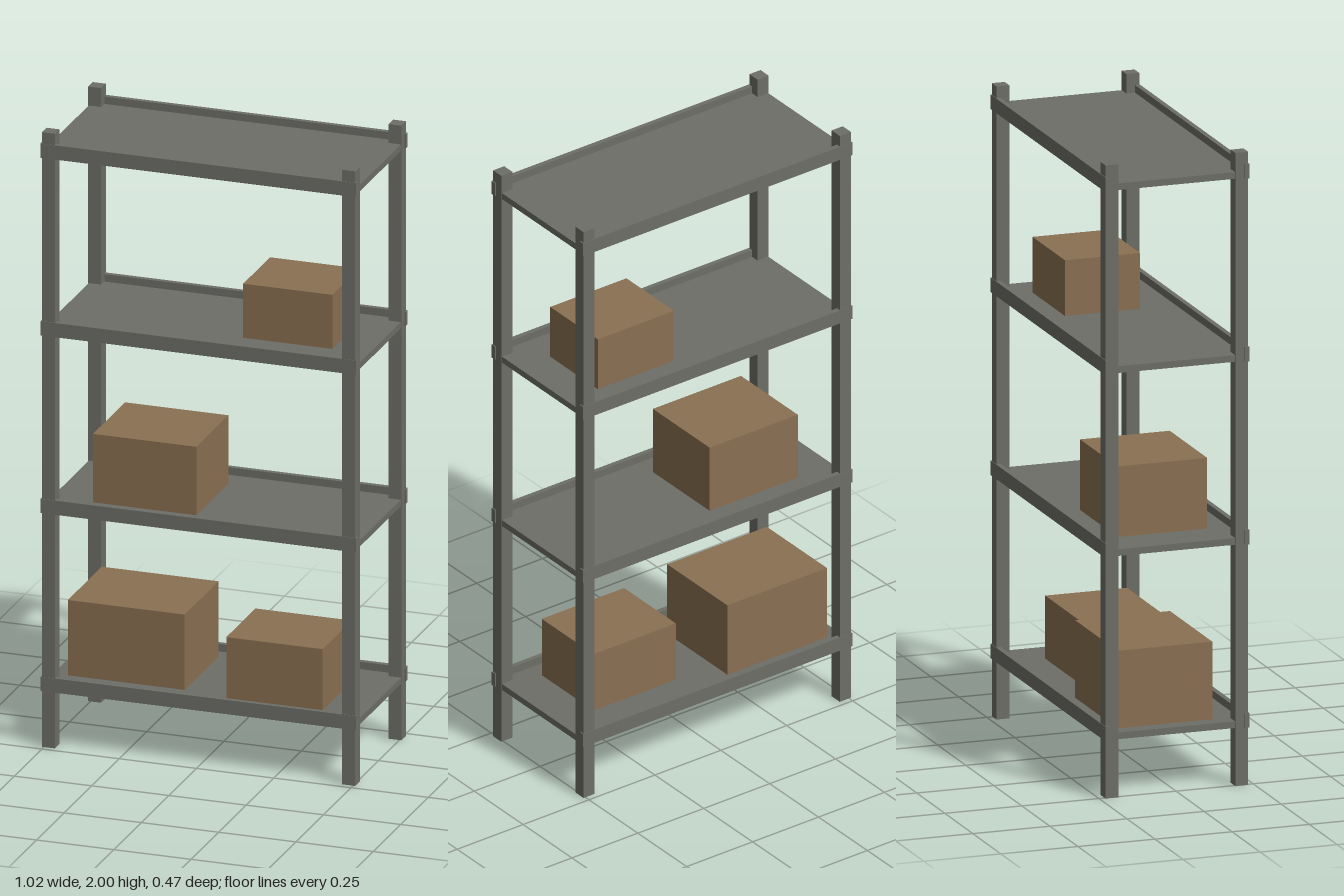
import * as THREE from 'three';

export function createModel() {
  const model = new THREE.Group();
  model.name = 'shelvingUnit';

  const metal = new THREE.MeshStandardMaterial({ color: 0x6e6e68 });
  metal.name = 'greyMetal';
  const cardboard = new THREE.MeshStandardMaterial({ color: 0x8a7052 });
  cardboard.name = 'cardboard';

  // Box given by its lower and upper limits on each axis
  function addBox(parent, name, material, [x0, x1], [y0, y1], [z0, z1]) {
    const mesh = new THREE.Mesh(new THREE.BoxGeometry(x1 - x0, y1 - y0, z1 - z0), material);
    mesh.position.set((x0 + x1) / 2, (y0 + y1) / 2, (z0 + z1) / 2);
    mesh.name = name;
    parent.add(mesh);
  }
  const around = (centre, size) => [centre - size / 2, centre + size / 2];

  // Corner posts
  const posts = new THREE.Group();
  posts.name = 'posts';
  model.add(posts);
  for (const sx of [-1, 1]) {
    for (const sz of [-1, 1]) {
      const name = (sz > 0 ? 'front' : 'back') + (sx > 0 ? 'Left' : 'Right') + 'Post';
      addBox(posts, name, metal, around(sx * 0.486, 0.042), [0, 2], around(sz * 0.2105, 0.042));
    }
  }

  // Shelves, each a plate with a lip along the front and back
  for (const base of [0.182, 0.761, 1.339, 1.917]) {
    const shelf = new THREE.Group();
    shelf.name = 'shelf';
    addBox(shelf, 'plate', metal, [-0.505, 0.505], [base + 0.001, base + 0.022], [-0.22, 0.22]);
    for (const sz of [-1, 1]) {
      addBox(shelf, sz > 0 ? 'frontRail' : 'backRail', metal,
        [-0.511, 0.511], [base, base + 0.046], around(sz * 0.2255, 0.016));
    }
    model.add(shelf);
  }

  // Cardboard boxes resting on the plates
  const boxes = new THREE.Group();
  boxes.name = 'boxes';
  model.add(boxes);
  addBox(boxes, 'largeBox', cardboard, [-0.458, -0.08], [0.204, 0.449], [-0.175, 0.133]);
  addBox(boxes, 'lowerSmallBox', cardboard, [0.064, 0.376], [0.204, 0.403], [-0.106, 0.159]);
  addBox(boxes, 'middleBox', cardboard, [-0.371, -0.037], [0.783, 1.006], [-0.143, 0.148]);
  addBox(boxes, 'upperBox', cardboard, [0.098, 0.387], [1.361, 1.537], [-0.143, 0.101]);

  return model;
}
